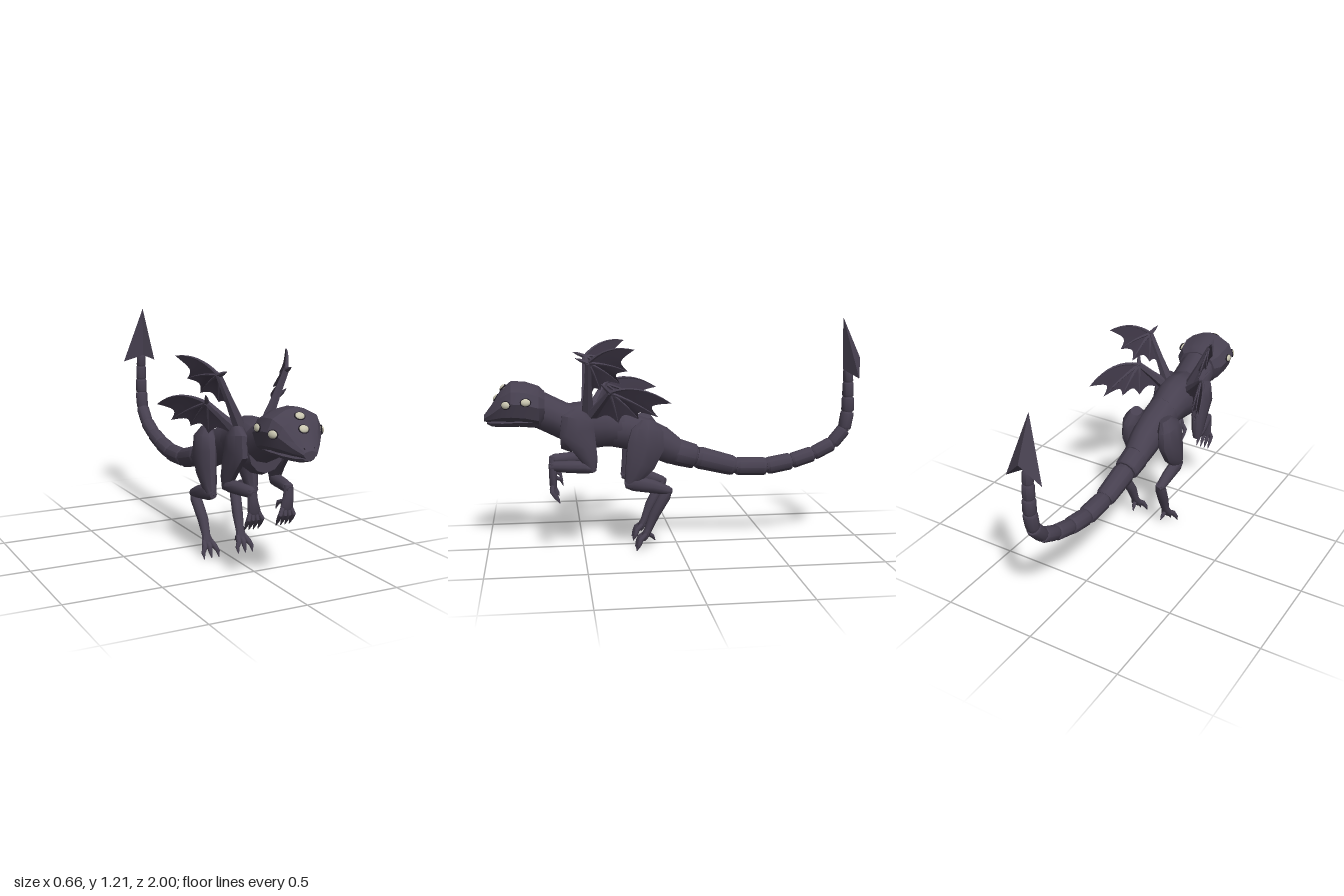
import * as THREE from 'three';
import { toCreasedNormals } from 'three/addons/utils/BufferGeometryUtils.js';

const V = (x, y, z) => new THREE.Vector3(x, y, z);
const circle = (n) => Array.from({ length: n }, (_, i) => {
  const a = (i / n) * Math.PI * 2;
  return [Math.cos(a), Math.sin(a)];
});

// Skin a row of rings [x, y, z, halfWidth, halfDepth]; dir fixes the ring normal
function loft(rings, { section = circle(10), dir = null, crease = 0.7 } = {}) {
  const n = section.length, pos = [], idx = [];
  const c = rings.map((r) => V(r[0], r[1], r[2]));
  rings.forEach((r, i) => {
    const t = dir ? dir.clone() : c[Math.min(i + 1, c.length - 1)].clone().sub(c[Math.max(i - 1, 0)]).normalize();
    const side = (Math.abs(t.x) > 0.9 ? V(0, 1, 0) : V(1, 0, 0));
    side.addScaledVector(t, -side.dot(t)).normalize();
    const up = t.clone().cross(side);
    for (const [u, v] of section) {
      const p = c[i].clone().addScaledVector(side, u * r[3]).addScaledVector(up, v * (r[4] ?? r[3]));
      pos.push(p.x, p.y, p.z);
    }
  });
  for (let i = 0; i < rings.length - 1; i++) {
    for (let j = 0; j < n; j++) {
      const a = i * n + j, b = i * n + (j + 1) % n;
      idx.push(a, b, a + n, b, b + n, a + n);
    }
  }
  const last = (rings.length - 1) * n, s = pos.length / 3;
  pos.push(...c[0].toArray(), ...c[c.length - 1].toArray());
  for (let j = 0; j < n; j++) {
    const k = (j + 1) % n;
    idx.push(s, k, j, s + 1, last + j, last + k);
  }
  const g = new THREE.BufferGeometry();
  g.setAttribute('position', new THREE.Float32BufferAttribute(pos, 3));
  g.setIndex(idx);
  return toCreasedNormals(g, crease);
}

// Rows [z, bottom, top, halfWidth] running forwards
const bodyLoft = (rows, opts = {}) =>
  loft(rows.map(([z, b, t, w]) => [0, (b + t) / 2, z, w, (t - b) / 2]), { dir: V(0, 0, 1), ...opts });

export function createModel() {
  const model = new THREE.Group();
  const mat = (name, color, side = THREE.FrontSide) =>
    Object.assign(new THREE.MeshStandardMaterial({ color, side }), { name });
  const skin = mat('dusky skin', 0x474050);
  const web = mat('wing membrane', 0x3c3544, THREE.DoubleSide);
  const dark = mat('dark rim', 0x26212b);
  const pale = mat('pale eye', 0xc9c6b0);
  const add = (name, geo, material = skin, parent = model) => {
    const m = new THREE.Mesh(geo, material);
    m.name = name;
    parent.add(m);
    return m;
  };

  // Head and jaw
  const half = [[1, 0.05], [0.82, 0.6], [0.35, 0.92]];
  const low = [[-0.85, -0.6], [-0.5, -1], [0.5, -1], [0.85, -0.6]];
  const headSection = [...half, [0, 1], ...half.map(([x, y]) => [-x, y]).reverse(), ...low];
  add('head', bodyLoft([
    [0.69, 0.68, 0.84, 0.11], [0.72, 0.66, 0.868, 0.14], [0.79, 0.675, 0.892, 0.152], [0.86, 0.68, 0.895, 0.142],
    [0.91, 0.684, 0.855, 0.112], [0.96, 0.688, 0.775, 0.072], [1, 0.69, 0.722, 0.036],
  ], { section: headSection, crease: 0.45 }));
  add('lowerJaw', bodyLoft([
    [0.72, 0.655, 0.72, 0.1], [0.82, 0.665, 0.72, 0.11], [0.9, 0.662, 0.71, 0.085], [0.96, 0.664, 0.7, 0.05],
    [0.985, 0.675, 0.695, 0.028],
  ], { section: headSection, crease: 0.45 }));

  // Neck, chest, and trunk overlap in steps
  add('neck', bodyLoft([[0.53, 0.56, 0.765, 0.105], [0.58, 0.57, 0.78, 0.11], [0.65, 0.605, 0.815, 0.108], [0.74, 0.65, 0.86, 0.1]],
    { section: circle(12) }));
  add('chest', bodyLoft([[0.28, 0.54, 0.73, 0.088], [0.38, 0.54, 0.775, 0.1], [0.46, 0.53, 0.79, 0.115],
    [0.56, 0.515, 0.775, 0.115], [0.61, 0.535, 0.74, 0.095]], { section: circle(12) }));
  add('trunk', bodyLoft([[-0.02, 0.425, 0.575, 0.066], [0.05, 0.44, 0.635, 0.078], [0.15, 0.48, 0.685, 0.09],
    [0.25, 0.52, 0.72, 0.092], [0.4, 0.55, 0.765, 0.09]], { section: circle(12) }));

  // Eyes with rims, and nostrils
  const eye = (x, y, z, nx, ny, nz) => {
    const g = new THREE.Group();
    g.name = 'eye';
    g.position.set(x, y, z);
    g.lookAt(x + nx, y + ny, z + nz);
    add('eyeball', new THREE.SphereGeometry(1, 14, 8), pale, g).scale.set(0.025, 0.019, 0.012);
    add('eyeRim', new THREE.TorusGeometry(0.025, 0.004, 5, 14), dark, g).scale.set(1, 0.78, 1);
    model.add(g);
  };
  eye(0, 0.863, 0.902, 0, 0.7, 0.75);
  eye(0, 0.81, 0.938, 0, 0.55, 0.85);
  for (const s of [-1, 1]) {
    eye(s * 0.127, 0.787, 0.885, s, 0.15, 0.55);
    eye(s * 0.15, 0.802, 0.785, s, 0.2, 0);
    const nostril = add('nostril', new THREE.SphereGeometry(0.006, 6, 4), dark);
    nostril.position.set(s * 0.025, 0.73, 0.985);
  }

  // Tail: plated segments [y, z, radius] over a slim core
  const tail = [[0.505, 0.01, 0.074], [0.472, -0.105, 0.062], [0.415, -0.32, 0.05], [0.41, -0.49, 0.047], [0.435, -0.63, 0.043],
    [0.472, -0.75, 0.039], [0.525, -0.855, 0.037], [0.605, -0.922, 0.035], [0.7, -0.938, 0.034], [0.78, -0.938, 0.031],
    [0.86, -0.937, 0.028], [0.93, -0.934, 0.024], [0.985, -0.93, 0.018]];
  add('tailCore', loft(tail.map(([y, z, r]) => [0, y, z, r * 0.75])));
  for (let i = 0; i < tail.length - 1; i++) {
    const [a, b] = [tail[i], tail[i + 1]];
    const ring = (t, k) => [0, THREE.MathUtils.lerp(a[0], b[0], t), THREE.MathUtils.lerp(a[1], b[1], t),
      THREE.MathUtils.lerp(a[2], b[2], t) * k];
    add('tailSegment', loft([ring(0.02, 0.9), ring(0.12, 1), ring(0.9, 1.06), ring(0.98, 0.95)], { crease: 0.65 }));
  }

  // Barbed tail tip: tip, front, left barb, back ridge, right barb
  const barb = new THREE.BufferGeometry();
  barb.setAttribute('position', new THREE.Float32BufferAttribute(
    [0, 1.21, -0.9, 0, 0.93, -0.905, 0.1, 0.89, -0.965, 0, 0.99, -1, -0.1, 0.89, -0.965], 3));
  barb.setIndex([0, 1, 2, 0, 2, 3, 1, 3, 2, 0, 4, 1, 0, 3, 4, 1, 4, 3]);
  add('tailBarb', toCreasedNormals(barb, 0.2));

  // Limbs, mirrored
  for (const s of [-1, 1]) {
    const limb = (name, rings) => add(name, loft(rings.map(([x, ...r]) => [s * x, ...r])));
    limb('upperArm', [[0.105, 0.745, 0.51, 0.03, 0.04], [0.117, 0.71, 0.525, 0.044, 0.085], [0.12, 0.64, 0.53, 0.047, 0.095],
      [0.127, 0.56, 0.49, 0.04, 0.065], [0.132, 0.49, 0.465, 0.034, 0.042], [0.135, 0.435, 0.452, 0.02, 0.02]]);
    limb('forearm', [[0.135, 0.45, 0.44, 0.02, 0.02], [0.13, 0.458, 0.48, 0.033, 0.033], [0.115, 0.46, 0.57, 0.03, 0.032],
      [0.1, 0.46, 0.645, 0.027, 0.028], [0.1, 0.455, 0.67, 0.018, 0.018]]);
    limb('hand', [[0.1, 0.475, 0.65, 0.022, 0.022], [0.098, 0.42, 0.655, 0.027, 0.022], [0.09, 0.37, 0.655, 0.034, 0.02],
      [0.088, 0.345, 0.65, 0.028, 0.014]]);
    [0.05, 0.076, 0.1, 0.124].forEach((x, i) => limb('finger', [[0.07 + i * 0.013, 0.37, 0.655, 0.011],
      [x, 0.33, 0.662, 0.012], [x, 0.305, 0.645, 0.01], [x, 0.27, 0.622, 0.002]]));
    limb('thumb', [[0.08, 0.4, 0.65, 0.011], [0.065, 0.385, 0.615, 0.01], [0.06, 0.35, 0.602, 0.002]]);

    limb('thigh', [[0.09, 0.685, 0.16, 0.03, 0.04], [0.108, 0.64, 0.165, 0.05, 0.085], [0.115, 0.56, 0.175, 0.052, 0.1],
      [0.12, 0.47, 0.205, 0.045, 0.082], [0.12, 0.4, 0.24, 0.036, 0.05], [0.12, 0.35, 0.27, 0.022, 0.022]]);
    limb('shin', [[0.12, 0.36, 0.285, 0.02, 0.02], [0.12, 0.365, 0.24, 0.034, 0.042], [0.122, 0.345, 0.14, 0.031, 0.036],
      [0.122, 0.32, 0.06, 0.026, 0.024], [0.12, 0.315, 0.04, 0.014, 0.014]]);
    limb('hindShank', [[0.12, 0.335, 0.05, 0.02, 0.016], [0.117, 0.29, 0.075, 0.03, 0.03], [0.103, 0.19, 0.13, 0.029, 0.028],
      [0.1, 0.11, 0.162, 0.023, 0.02], [0.1, 0.075, 0.18, 0.034, 0.02], [0.1, 0.055, 0.19, 0.028, 0.014]]);
    [0.058, 0.1, 0.142].forEach((x, i) => limb('toe', [[0.082 + i * 0.018, 0.085, 0.175, 0.013],
      [(x * 2 + 0.1) / 3, 0.06, 0.205, 0.015], [x, 0.035, 0.215, 0.011], [x, 0.005, 0.228, 0.002]]));
    limb('heelClaw', [[0.1, 0.09, 0.17, 0.013], [0.095, 0.07, 0.14, 0.011], [0.09, 0.045, 0.125, 0.002]]);
  }

  // Wing: arm, thumb, curved fingers, and scalloped membrane panels
  function wing(name, s, { root, wrist, thumb, bend, tips, base }) {
    const g = new THREE.Group();
    g.name = name;
    model.add(g);
    const P = ([x, y, z]) => V(s * x, y, z);
    const W = P(wrist), R = P(root), mid = R.clone().lerp(W, 0.5);
    const bone = (part, pts, radii) =>
      add(part, loft(pts.map((p, i) => [...p.toArray(), radii[i]]), { section: circle(6) }), skin, g);
    bone('wingArm', [R, mid, W, W.clone().lerp(P(tips[0]), 0.05)], [0.034, 0.022, 0.016, 0.009]);
    bone('wingThumb', [W, W.clone().lerp(P(thumb), 0.6), P(thumb)], [0.013, 0.009, 0.001]);
    const N = 8;
    const rays = tips.map((t, i) => {
      const T = P(t);
      const ctrl = W.clone().lerp(T, 0.5);
      if (i === 0) ctrl.copy(P(bend));
      else ctrl.y += 0.02;
      return new THREE.QuadraticBezierCurve3(W, ctrl, T).getPoints(N);
    });
    rays.forEach((r) => bone('wingFinger', r, r.map((_, i) => 0.01 - 0.0088 * (i / N))));
    const B = P(base);
    rays.push(Array.from({ length: N + 1 }, (_, i) => W.clone().lerp(B, i / N)));
    for (let k = 0; k < rays.length - 1; k++) {
      // Each panel draws in towards the wrist halfway between its two fingers
      const pos = [], idx = [], M = 6;
      for (let i = 0; i <= N; i++) {
        for (let j = 0; j <= M; j++) {
          const v = j / M, pull = 1 - 0.9 * v * (1 - v) * (i / N);
          const p = rays[k][i].clone().lerp(rays[k + 1][i], v).sub(W).multiplyScalar(pull).add(W);
          pos.push(p.x, p.y, p.z);
          if (i < N && j < M) {
            const a = i * (M + 1) + j, b = a + M + 1;
            idx.push(a, b, a + 1, a + 1, b, b + 1);
          }
        }
      }
      const geo = new THREE.BufferGeometry();
      geo.setAttribute('position', new THREE.Float32BufferAttribute(pos, 3));
      geo.setIndex(idx);
      geo.computeVertexNormals();
      add('wingMembrane', geo, web, g);
    }
  }
  for (const s of [-1, 1]) {
    wing('upperWing', s, {
      root: [0.07, 0.74, 0.47], wrist: [0.185, 1.0, 0.47], thumb: [0.175, 1.025, 0.535], bend: [0.25, 1.1, 0.38],
      tips: [[0.31, 1.075, 0.25], [0.26, 0.965, 0.28], [0.205, 0.895, 0.31], [0.155, 0.86, 0.41]], base: [0.09, 0.79, 0.46],
    });
    wing('lowerWing', s, {
      root: [0.075, 0.72, 0.45], wrist: [0.195, 0.85, 0.365], thumb: [0.225, 0.9, 0.41], bend: [0.29, 0.915, 0.23],
      tips: [[0.33, 0.81, 0.07], [0.28, 0.735, 0.13], [0.215, 0.715, 0.22], [0.165, 0.69, 0.32]], base: [0.085, 0.695, 0.44],
    });
  }
  return model;
}
